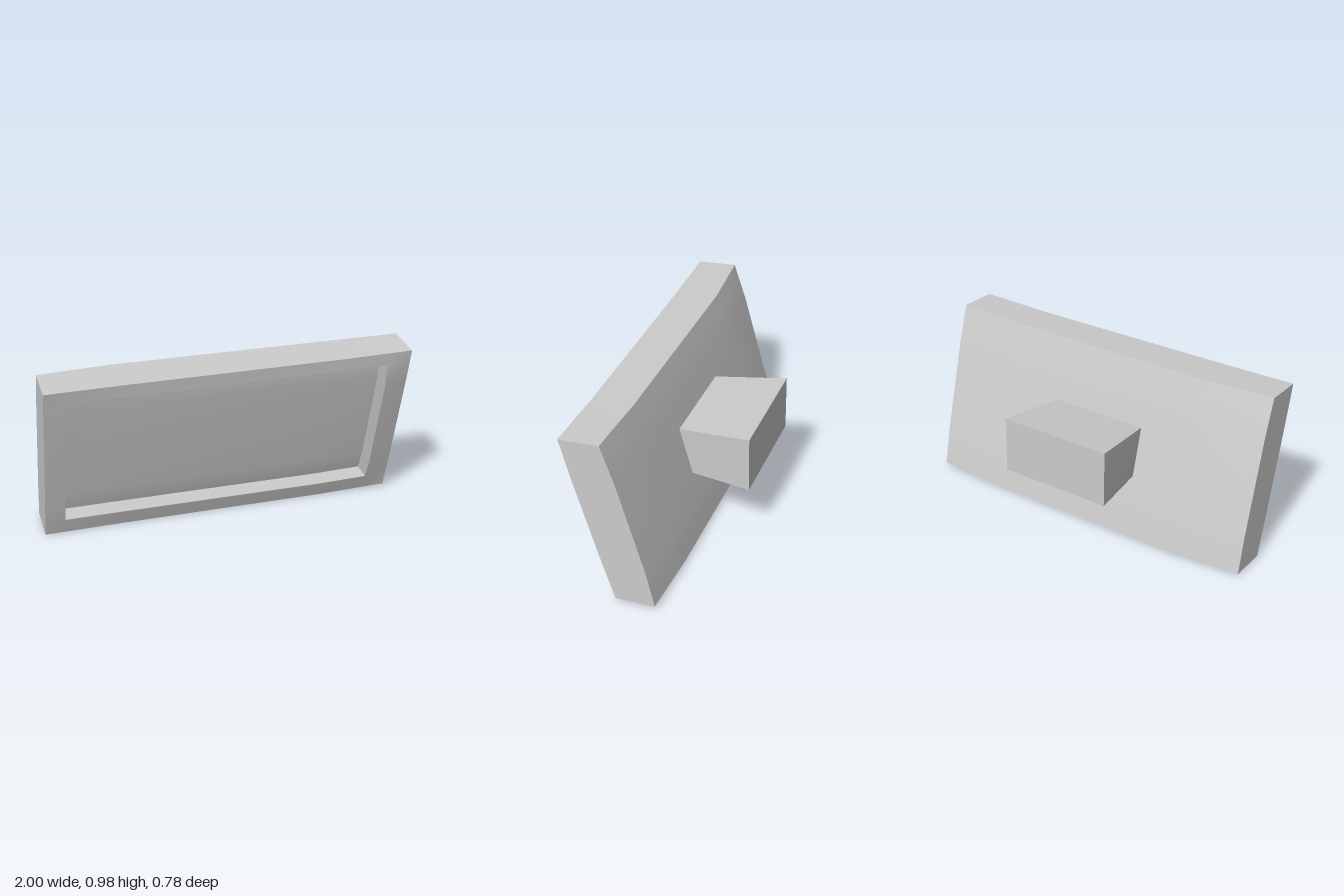
import * as THREE from 'three';
import { mergeGeometries } from 'three/addons/utils/BufferGeometryUtils.js';

const { lerp, clamp } = THREE.MathUtils;

// 0 at both ends, 1 between the two bend lines
const bendU = u => clamp((1 - Math.abs(u)) / 0.4, 0, 1);
const bendV = v => clamp(Math.min(v, 1 - v) / 0.22, 0, 1);

// Point in the leaning, bowed panel: u across, v up, w front (0) to back (1)
function panelPoint(u, v, w) {
  const lift = lerp(0.013, 0.008, v) * clamp((u - 0.6) / 0.4, 0, 1) * lerp(1, 0.7, w);
  const lean = 0.27 * v - 0.011 * u;
  // The front swells towards the rim of the recess, the back swells as a whole
  const rim = clamp((1 - Math.abs(u)) / 0.12, 0, 1);
  const swell = lerp(0.006, 0.018 + 0.008 * u + 0.006 * bendU(u), rim);
  const frontZ = 0.112 + lean - 0.006 * bendU(u) + swell * bendV(v);
  const backZ = -0.11 + lean - 0.013 * bendV(v) - (0.0215 - 0.0085 * u) * bendU(u);
  return [u, 0.957 * v + 0.017 * w + lift, lerp(frontZ, backZ, w)];
}

// Point in the recess: w from its mouth (0) to its floor (1)
function recessPoint(u, v, w) {
  const [x, y, z] = panelPoint(u, v, 0);
  return [x, y + 0.008 * w, z - 0.11 * w];
}

// Grid surface over two lists of parameters; keep(i, j) can leave cells open
function patch(as, bs, point, keep = () => true) {
  const pos = [], index = [];
  for (const b of bs) for (const a of as) pos.push(...point(a, b));
  const n = as.length;
  for (let j = 0; j < bs.length - 1; j++) {
    for (let i = 0; i < n - 1; i++) {
      if (!keep(i, j)) continue;
      const k = j * n + i;
      index.push(k, k + 1, k + n + 1, k, k + n + 1, k + n);
    }
  }
  const g = new THREE.BufferGeometry();
  g.setAttribute('position', new THREE.Float32BufferAttribute(pos, 3));
  g.setIndex(index);
  g.computeVertexNormals();
  return g;
}

// Four walls around a rectangle, facing outwards, or inwards with the order reversed
function walls(us, vs, point, inward) {
  const [a, b] = inward ? [[1, 0], [0, 1]] : [[0, 1], [1, 0]];
  return [
    patch(a, vs, (w, v) => point(us.at(-1), v, w)),
    patch(b, vs, (w, v) => point(us[0], v, w)),
    patch(us, a, (u, w) => point(u, vs.at(-1), w)),
    patch(us, b, (u, w) => point(u, vs[0], w)),
  ];
}

export function createModel() {
  const model = new THREE.Group();
  const material = new THREE.MeshStandardMaterial({ color: 0xcccccc });
  const add = (name, geometry) => {
    const mesh = new THREE.Mesh(geometry, material);
    mesh.name = name;
    model.add(mesh);
  };

  const U = [-1, -0.89, -0.6, 0.6, 0.87, 1];
  const V = [0, 0.096, 0.22, 0.78, 0.925, 1];
  const innerU = U.slice(1, -1), innerV = V.slice(1, -1);

  // Casing: front rim, outer walls and back
  const isRim = (i, j) => i === 0 || i === 4 || j === 0 || j === 4;
  add('casing', mergeGeometries([
    patch(U, V, (u, v) => panelPoint(u, v, 0), isRim),
    patch([...U].reverse(), V, (u, v) => panelPoint(u, v, 1)),
    ...walls(U, V, panelPoint, false),
  ]));

  // Recess walls and the sunken panel
  add('recessWalls', mergeGeometries(walls(innerU, innerV, recessPoint, true)));
  add('recessedPanel', patch(innerU, innerV, (u, v) => recessPoint(u, v, 1)));

  // Wall mount: a block that flares towards the back, its front set into the casing
  const mount = new THREE.BoxGeometry(1, 1, 1);
  const p = mount.attributes.position;
  for (let i = 0; i < p.count; i++) {
    const right = p.getX(i) > 0, top = p.getY(i) > 0, front = p.getZ(i) > 0;
    const x = front ? (right ? 0.265 : -0.29) : (right ? 0.315 : -0.328);
    const y = top ? (front ? 0.627 : 0.692) : (front ? 0.358 : 0.367);
    const z = front ? (top ? 0.06 : -0.02) : (top ? -0.385 : -0.39);
    p.setXYZ(i, x, y, z);
  }
  mount.computeVertexNormals();
  add('wallMount', mount);

  return model;
}
